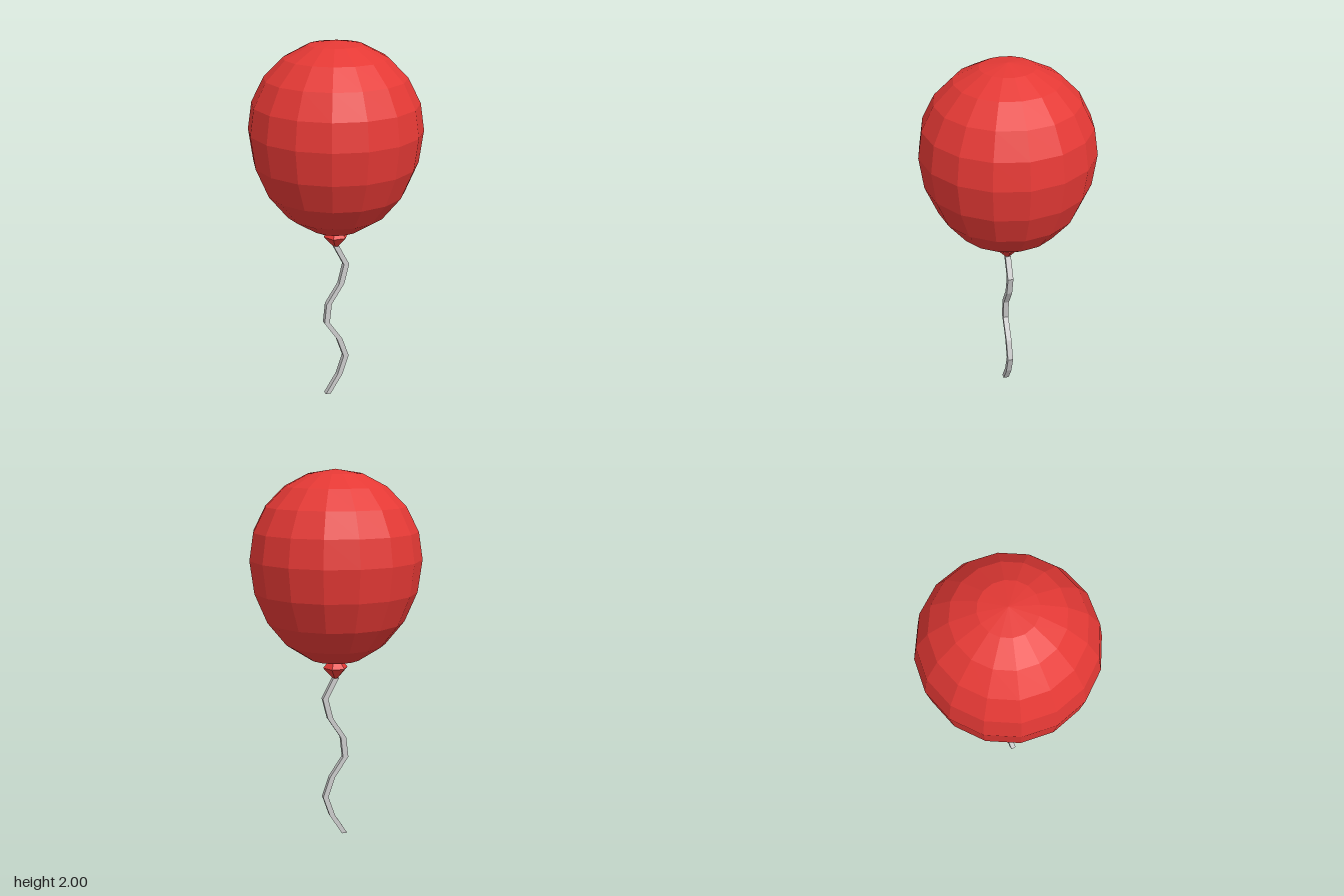
import * as THREE from 'three';

const red = new THREE.MeshStandardMaterial({ color: 0xe53935, flatShading: true });
const grey = new THREE.MeshStandardMaterial({ color: 0xcccccc, flatShading: true });

// Faceted solid of revolution from [radius, y] pairs, listed bottom to top
function lathe(name, profile, sides, start = 0) {
  const points = profile.map(([r, y]) => new THREE.Vector2(r, y));
  const mesh = new THREE.Mesh(new THREE.LatheGeometry(points, sides, start), red);
  mesh.name = name;
  return mesh;
}

export function createModel() {
  const model = new THREE.Group();
  model.name = 'balloon';

  // Envelope: round on top, stretched towards the neck
  model.add(lathe('envelope', [
    [0, 0.99], [0.139, 1.012], [0.265, 1.095], [0.365, 1.22], [0.43, 1.376],
    [0.452, 1.545], [0.43, 1.686], [0.365, 1.813], [0.265, 1.913], [0.139, 1.978], [0, 2],
  ], 16));

  // Knot: two six-sided cones base to base
  model.add(lathe('knot', [[0, 0.885], [0.068, 0.96], [0, 1.04]], 6, Math.PI / 2));

  // String: square strip whose rows are shifted sideways into a wave
  const length = 0.902, width = 0.03;
  const sway = [-0.05, 0.02, 0.058, 0.02, -0.055, -0.043, 0.03, 0.058, 0];
  const rows = sway.length - 1;
  const geometry = new THREE.BoxGeometry(width, length, width, 1, rows, 1);
  geometry.translate(0, length / 2, 0);
  const position = geometry.attributes.position;
  for (let i = 0; i < position.count; i++) {
    const row = Math.round((position.getY(i) / length) * rows);
    position.setX(i, position.getX(i) + sway[row]);
  }
  geometry.computeVertexNormals();
  const string = new THREE.Mesh(geometry, grey);
  string.name = 'string';
  model.add(string);

  return model;
}
